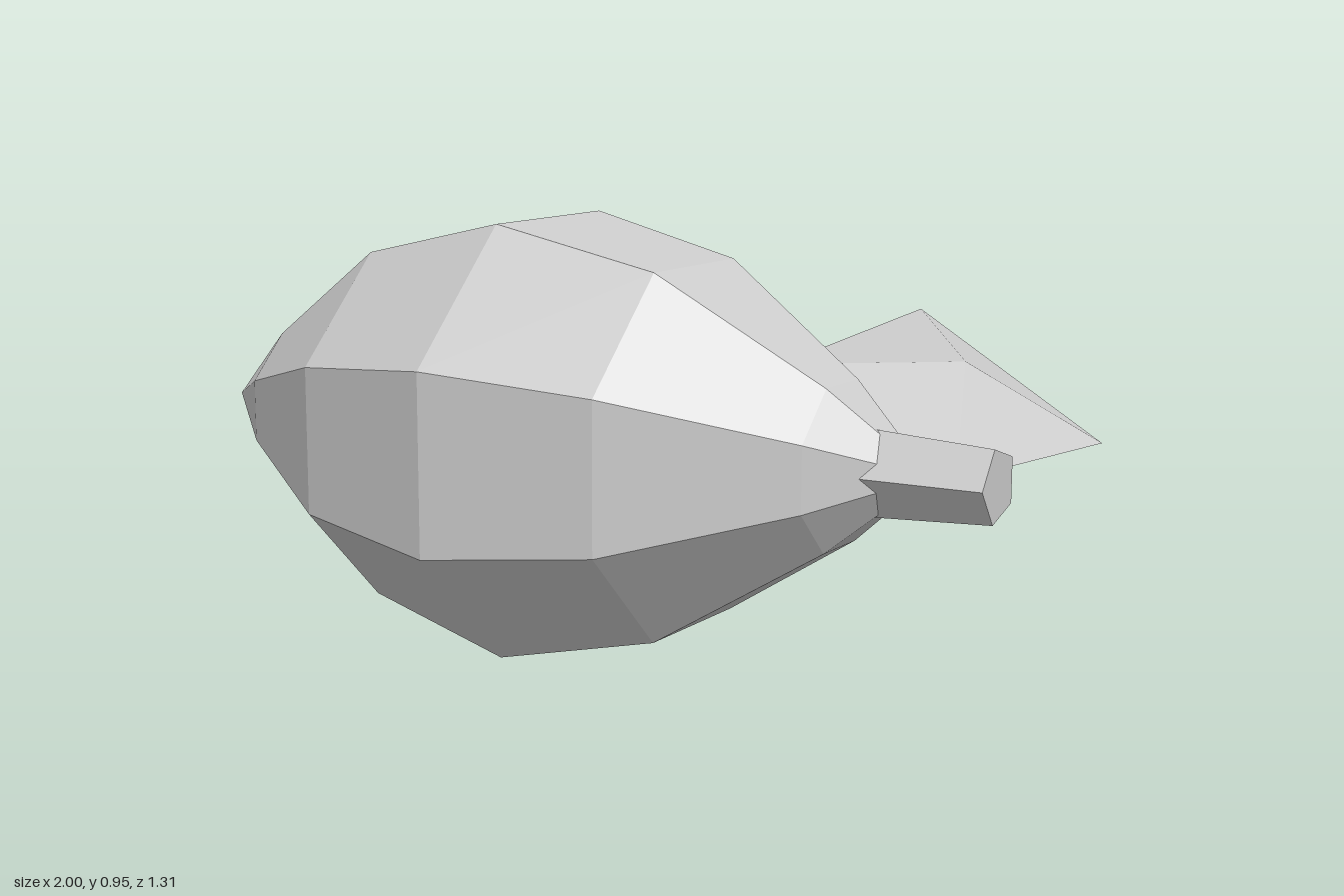
import * as THREE from 'three';

const AXIS_Y = 0.477, AXIS_Z = 0.182;

export function createModel() {
  const group = new THREE.Group();
  const skin = new THREE.MeshStandardMaterial({ color: 0xcccccc, flatShading: true, side: THREE.DoubleSide });
  skin.name = 'pale grey';

  const add = (name, geometry) => {
    const mesh = new THREE.Mesh(geometry, skin);
    mesh.name = name;
    group.add(mesh);
    return mesh;
  };

  // Fruit body: eight-sided spindle lying along x, pointed at both ends
  const profile = [
    [0, -1], [0.184, -0.8], [0.422, -0.45], [0.512, -0.08],
    [0.422, 0.29], [0.184, 0.64], [0, 0.84],
  ].map(([r, x]) => new THREE.Vector2(r, x));
  const body = new THREE.LatheGeometry(profile, 8, Math.PI / 8);
  body.rotateZ(-Math.PI / 2);
  body.translate(0, AXIS_Y, AXIS_Z);
  add('fruitBody', body);

  // Stem: tapered five-sided stub, one edge facing the front
  const stemStart = 0.66, stemEnd = 0.985;
  const stem = new THREE.CylinderGeometry(0.08, 0.099, stemEnd - stemStart, 5);
  stem.rotateZ(-Math.PI / 2);
  stem.translate((stemStart + stemEnd) / 2, AXIS_Y, AXIS_Z);
  add('stem', stem);

  // Leaf: folded diamond, four triangles around a raised middle
  const middle = [0.755, 0.657, -0.165];
  const rim = [
    [0.42, 0.692, -0.655], // tip
    [0.42, 0.65, 0.04],    // inner corner, inside the fruit
    [0.895, 0.477, 0.18],  // base, inside the stem
    [1.0, 0.477, -0.34],   // outer corner
  ];
  const points = rim.flatMap((p, i) => [...middle, ...p, ...rim[(i + 1) % rim.length]]);
  const leaf = new THREE.BufferGeometry();
  leaf.setAttribute('position', new THREE.Float32BufferAttribute(points, 3));
  leaf.computeVertexNormals();
  add('leaf', leaf);

  return group;
}
